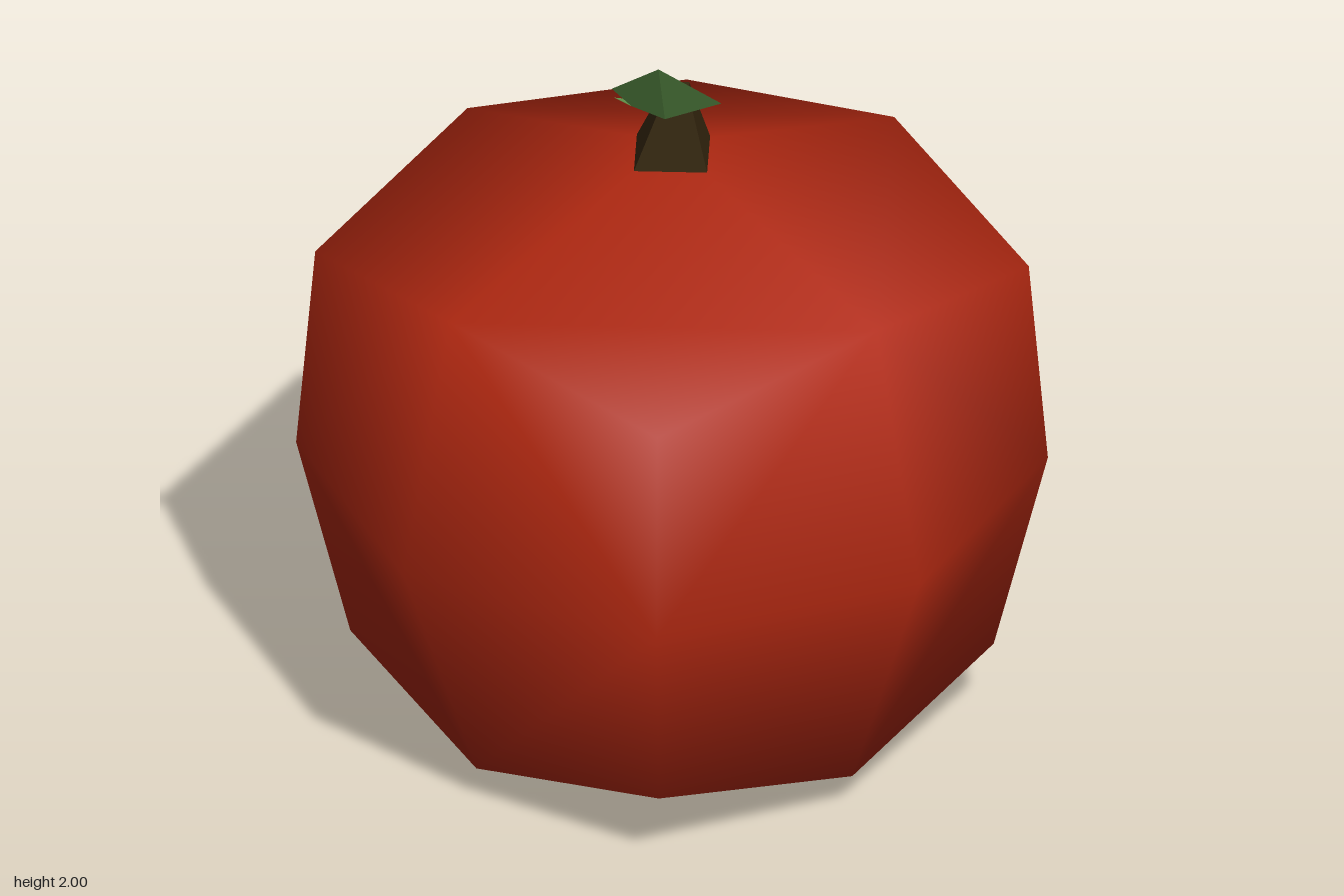
import * as THREE from 'three';

const red = new THREE.MeshStandardMaterial({ color: 0xb02811 });
red.name = 'apple red';
const brown = new THREE.MeshStandardMaterial({ color: 0x35270f, flatShading: true });
brown.name = 'stem brown';
const green = new THREE.MeshStandardMaterial({ color: 0x6ba653, flatShading: true, side: THREE.DoubleSide });
green.name = 'leaf green';

function geometryFrom(points, index) {
  const g = new THREE.BufferGeometry();
  g.setAttribute('position', new THREE.Float32BufferAttribute(points.flat(), 3));
  g.setIndex(index);
  g.computeVertexNormals();
  return g;
}

// Rounded cube body: three rings of eight points closed by two poles
function bodyGeometry() {
  const rings = [
    { axis: [0.59, 0.085], corner: [0.505, 0.19] },
    { axis: [0.81, 0.67], corner: [0.59, 0.67] },
    { axis: [0.67, 1.26], corner: [0.56, 1.16] },
  ];
  const points = [];
  for (const { axis, corner } of rings) {
    for (let i = 0; i < 8; i++) {
      const a = (i * Math.PI) / 4;
      const [r, y] = i % 2 ? [corner[0] * Math.SQRT2, corner[1]] : axis;
      points.push([r * Math.sin(a), y, r * Math.cos(a)]);
    }
  }
  points.push([0, 0, 0], [0, 1.46, 0]);
  const bottom = 24, top = 25, index = [];

  // Side bands; the diagonals alternate so each corner gets its own triangle
  for (let row = 0; row < 2; row++) {
    for (let i = 0; i < 8; i++) {
      const a = row * 8 + i, b = row * 8 + (i + 1) % 8, c = b + 8, d = a + 8;
      if ((i + row) % 2 === 0) index.push(a, b, c, a, c, d);
      else index.push(a, b, d, b, c, d);
    }
  }
  // Caps
  for (let i = 0; i < 8; i += 2) {
    const j = i + 1, k = (i + 2) % 8;
    index.push(16 + i, 16 + k, top, 16 + i, 16 + j, 16 + k);
    index.push(k, i, bottom, k, j, i);
  }
  return geometryFrom(points, index);
}

// Four-sided tapered stem with its top leaning aside
function stemGeometry() {
  const g = new THREE.CylinderGeometry(0.035, 0.115, 0.19, 4);
  const p = g.attributes.position;
  for (let i = 0; i < p.count; i++) {
    if (p.getY(i) > 0) p.setXYZ(i, p.getX(i) - 0.015, p.getY(i), p.getZ(i) + 0.035);
  }
  g.translate(0, 1.525, 0);
  g.computeVertexNormals();
  return g;
}

// Folded leaf: a fan around its midrib point, with a notch on one edge
function leafGeometry() {
  const points = [
    [-0.296, 1.762, 0.298], // midrib
    [-0.045, 1.603, 0.065], // base
    [-0.187, 1.788, 0.365], // outer edge
    [-0.435, 2.0, 0.428],   // tip
    [-0.378, 1.836, 0.213], // inner edge past the notch
    [-0.33, 1.778, 0.226],  // notch
    [-0.295, 1.746, 0.132], // inner edge before the notch
  ];
  const index = [];
  for (let i = 0; i < 6; i++) index.push(0, 1 + ((i + 1) % 6), 1 + i);
  // Reverse so the upper side is the front
  return geometryFrom(points, index.reverse());
}

export function createModel() {
  const group = new THREE.Group();
  const add = (name, geometry, material) => {
    const mesh = new THREE.Mesh(geometry, material);
    mesh.name = name;
    group.add(mesh);
  };
  add('body', bodyGeometry(), red);
  add('stem', stemGeometry(), brown);
  add('leaf', leafGeometry(), green);
  return group;
}
